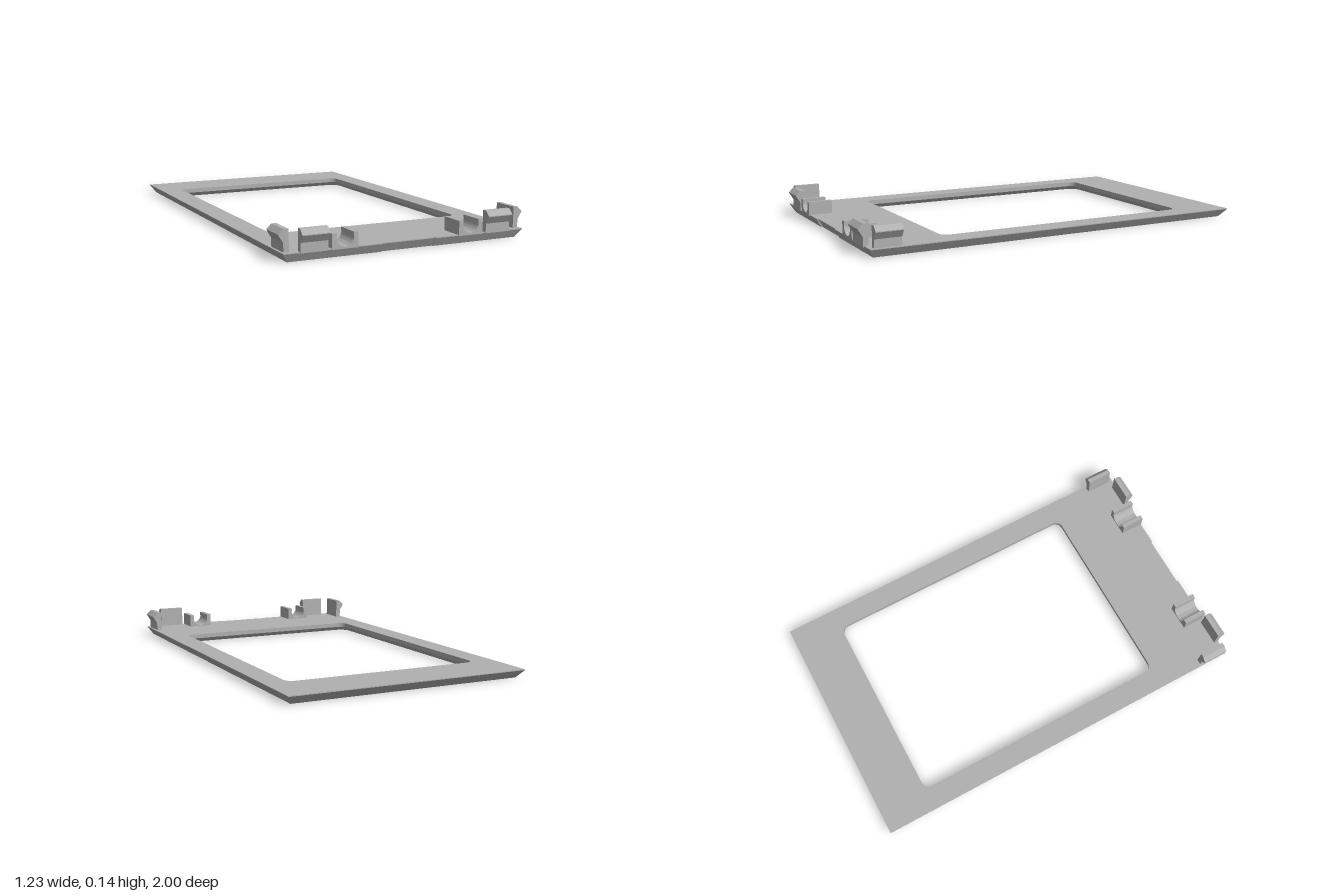
import * as THREE from 'three';
import { toCreasedNormals } from 'three/addons/utils/BufferGeometryUtils.js';

const TOP = 0.043;      // plate thickness
const V = (x, z) => new THREE.Vector2(x, z);

// Outer outline with a shallow recess in the middle of the front edge
function outerLoop(halfX, back, front, recess) {
  const n = 0.135;
  return [V(-halfX, back), V(halfX, back), V(halfX, front), V(n, front), V(n, front - recess),
    V(-n, front - recess), V(-n, front), V(-halfX, front)];
}

// Rounded window outline, grown outward by g
function windowLoop(g) {
  const r = 0.04, pts = [], steps = 8;
  const corners = [[0.455, 0.545], [-0.455, 0.545], [-0.455, -0.71], [0.455, -0.71]];
  corners.forEach(([cx, cz], i) => {
    for (let k = 0; k <= steps; k++) {
      const a = (i + k / steps) * Math.PI / 2;
      pts.push(V(cx + (r + g) * Math.cos(a), cz + (r + g) * Math.sin(a)));
    }
  });
  return pts;
}

// Wall joining two loops of equal length; both run clockwise seen from below
function wall(low, yLow, high, yHigh, inward) {
  const pos = [];
  low.forEach((a, i) => {
    const j = (i + 1) % low.length;
    const p = [a.x, yLow, a.y], q = [low[j].x, yLow, low[j].y];
    const r = [high[j].x, yHigh, high[j].y], s = [high[i].x, yHigh, high[i].y];
    pos.push(...(inward ? [p, q, r, p, r, s] : [p, r, q, p, s, r]).flat());
  });
  const g = new THREE.BufferGeometry();
  g.setAttribute('position', new THREE.Float32BufferAttribute(pos, 3));
  g.computeVertexNormals();
  return toCreasedNormals(g, 0.5);
}

// Flat face with the window cut out, facing up or down
function face(outer, hole, y, up) {
  const flip = p => V(p.x, up ? -p.y : p.y);
  const shape = new THREE.Shape(outer.map(flip));
  shape.holes.push(new THREE.Path(hole.map(flip)));
  return new THREE.ShapeGeometry(shape).rotateX(up ? -Math.PI / 2 : Math.PI / 2).translate(0, y, 0);
}

// Extrusion centred on z = 0
function bar(shape, depth) {
  const g = new THREE.ExtrudeGeometry(shape, { depth, bevelEnabled: false, curveSegments: 24 });
  return toCreasedNormals(g.translate(0, 0, -depth / 2), 0.5);
}

export function createModel() {
  const model = new THREE.Group();
  model.name = 'windowFrame';
  const grey = new THREE.MeshStandardMaterial({ color: 0xb0b0b0 });
  grey.name = 'grey';
  const add = (name, geometry, parent = model) => {
    const mesh = new THREE.Mesh(geometry, grey);
    mesh.name = name;
    parent.add(mesh);
    return mesh;
  };

  // Plate: undercut outer bevel, window chamfered on its lower rim
  const plate = new THREE.Group();
  plate.name = 'plate';
  model.add(plate);
  const rim = outerLoop(0.607, -1, 0.975, 0.007);
  const foot = outerLoop(0.58, -0.965, 0.953, 0.007);
  const opening = windowLoop(0), chamfer = windowLoop(0.016);
  add('topFace', face(rim, opening, TOP, true), plate);
  add('bottomFace', face(foot, chamfer, 0, false), plate);
  add('outerLip', wall(rim, TOP - 0.004, rim, TOP, false), plate);
  add('outerBevel', wall(foot, 0, rim, TOP - 0.004, false), plate);
  add('windowWall', wall(opening, 0.02, opening, TOP, true), plate);
  add('windowChamfer', wall(chamfer, 0, opening, 0.02, true), plate);

  // Snap clips: hooked profile, +x is the hook side
  const hook = new THREE.Shape([V(-0.026, TOP - 0.005), V(0, TOP - 0.005), V(0, 0.083),
    V(0.021, 0.116), V(0.021, 0.12), V(-0.002, 0.143), V(-0.024, 0.143)]);
  const clip = bar(hook, 0.13);

  // Cradles: block with a round seat open at the top
  const seat = new THREE.Shape();
  seat.moveTo(-0.063, TOP - 0.005);
  seat.lineTo(0.063, TOP - 0.005);
  seat.lineTo(0.063, 0.108);
  seat.lineTo(0.04, 0.108);
  seat.lineTo(0.04, 0.09);
  seat.absarc(0, 0.09, 0.042, 0, Math.PI, true);
  seat.lineTo(-0.04, 0.09);
  seat.lineTo(-0.04, 0.108);
  seat.lineTo(-0.063, 0.108);
  const cradle = bar(seat, 0.12);

  for (const [side, s] of [['left', 1], ['right', -1]]) {
    const sideClip = add(side + 'SideClip', clip);
    sideClip.position.set(s * 0.596, 0, 0.888);
    sideClip.rotation.y = s > 0 ? 0 : Math.PI;
    const frontClip = add(side + 'FrontClip', clip);
    frontClip.position.set(s * 0.465, 0, 0.979);
    frontClip.rotation.y = -Math.PI / 2;
    add(side + 'Cradle', cradle).position.set(s * 0.319, 0, 0.918);
  }
  return model;
}
